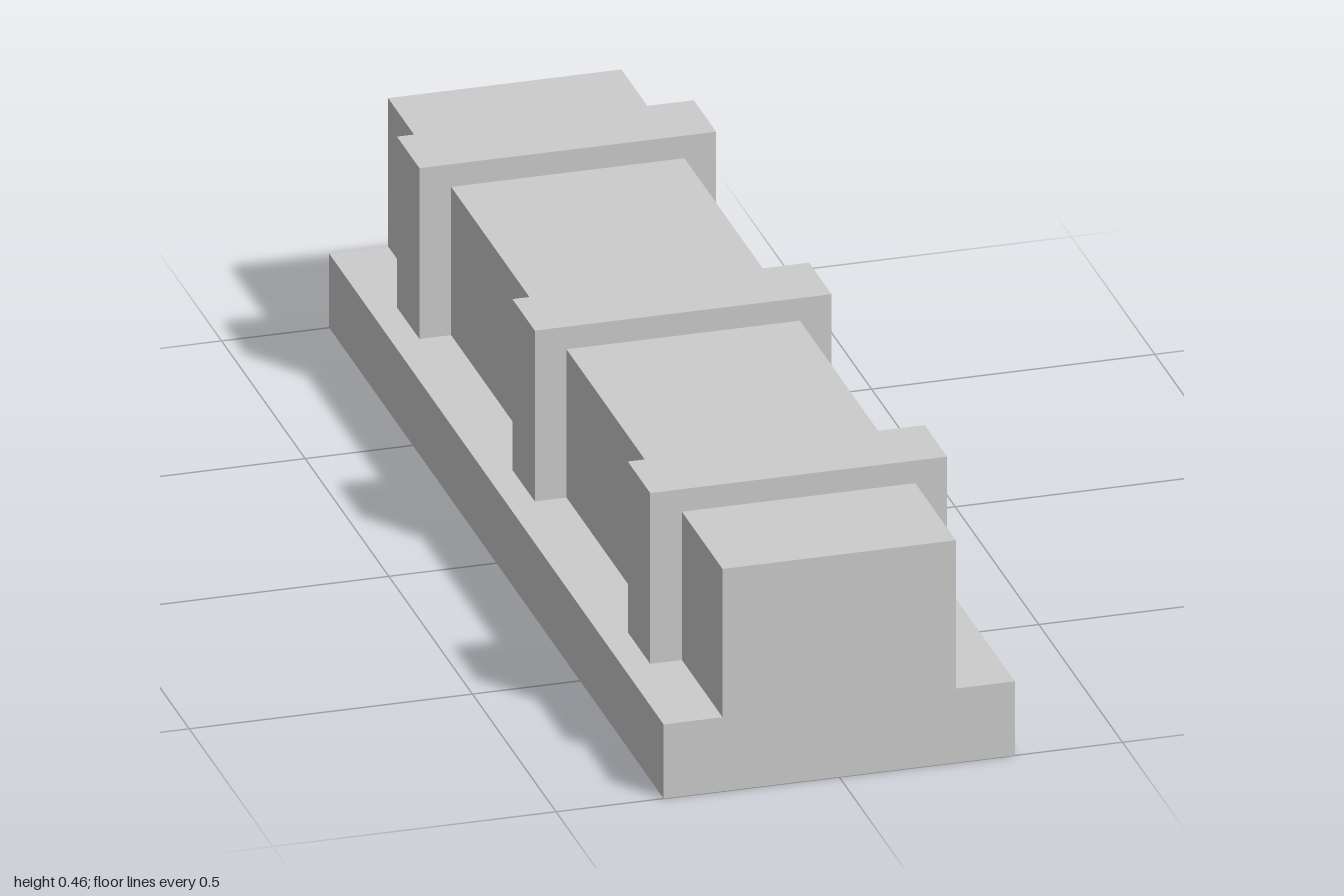
import * as THREE from 'three';

// Box standing on y0 with its underside left open
function openBox(width, y0, y1, depth) {
  const geometry = new THREE.BoxGeometry(width, y1 - y0, depth);
  const index = Array.from(geometry.index.array);
  index.splice(18, 6); // drop the -y face
  geometry.setIndex(index);
  geometry.clearGroups();
  geometry.translate(0, (y0 + y1) / 2, 0);
  return geometry;
}

export function createModel() {
  const model = new THREE.Group();
  model.name = 'bandedBlock';

  const grey = new THREE.MeshStandardMaterial({ color: 0xcccccc, side: THREE.DoubleSide });
  grey.name = 'light grey';

  const add = (name, geometry, z = 0) => {
    const mesh = new THREE.Mesh(geometry, grey);
    mesh.name = name;
    mesh.position.z = z;
    model.add(mesh);
  };

  const baseTop = 0.138;

  // Hollow base tray, open below
  add('base', openBox(0.62, 0, baseTop, 2));

  // Long raised block, flush with the ends of the base
  add('block', openBox(0.412, baseTop, 0.414, 2));

  // Three straps around the block, reaching down through the base
  const strap = openBox(0.524, 0, 0.456, 0.134);
  [['frontStrap', 0.69], ['middleStrap', 0], ['backStrap', -0.69]].forEach(([name, z]) => add(name, strap, z));

  return model;
}
